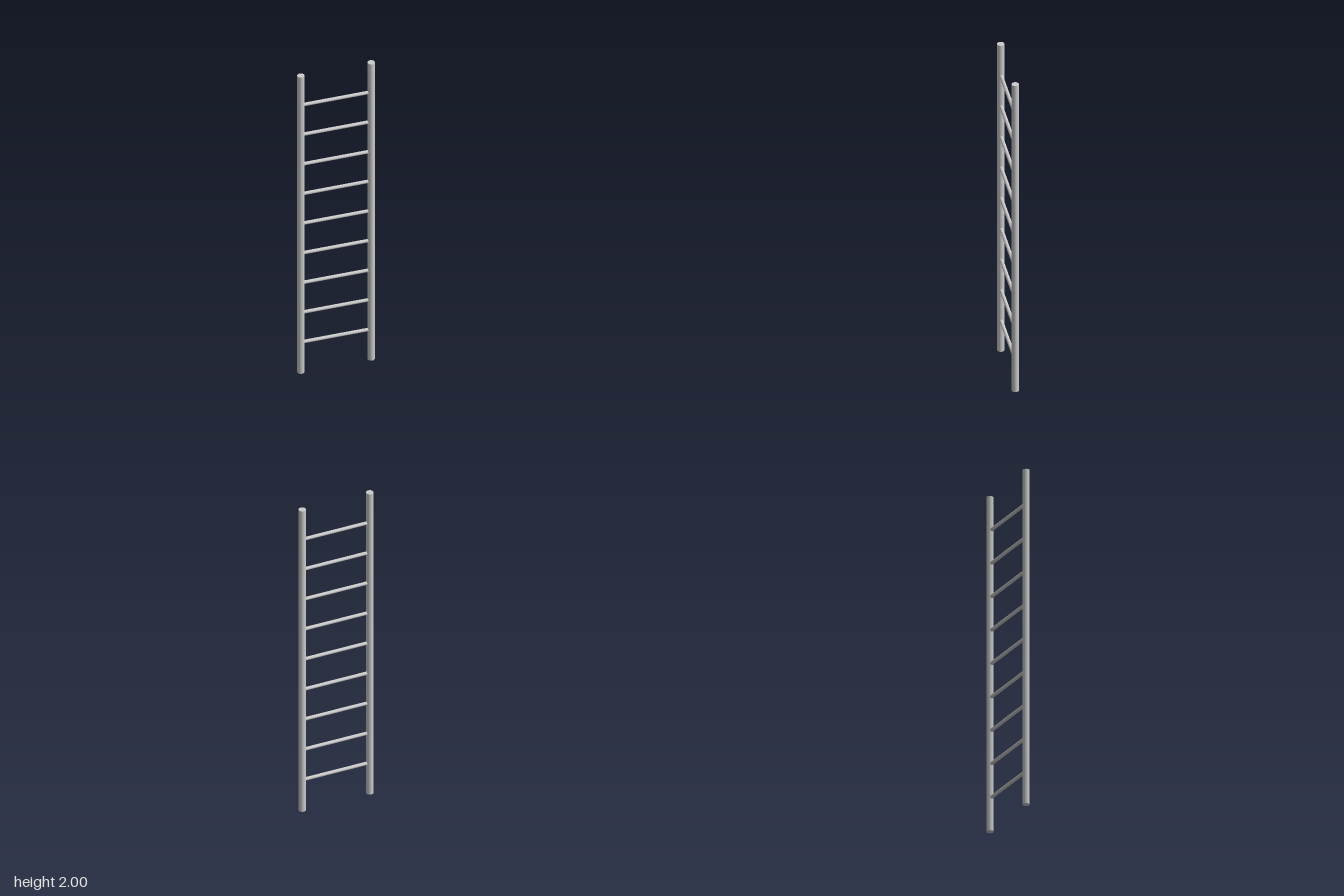
import * as THREE from 'three';

const HEIGHT = 2, RAIL_X = 0.2, RAIL_RADIUS = 0.02;
const RUNG_RADIUS = 0.01, RUNG_COUNT = 9, RUNG_SPACING = 0.2;

export function createModel() {
  const ladder = new THREE.Group();
  ladder.name = 'ladder';
  const material = new THREE.MeshStandardMaterial({ color: 0xcccccc });

  // Two upright side rails
  const railGeometry = new THREE.CylinderGeometry(RAIL_RADIUS, RAIL_RADIUS, HEIGHT, 32);
  for (const side of [-1, 1]) {
    const rail = new THREE.Mesh(railGeometry, material);
    rail.name = side > 0 ? 'leftRail' : 'rightRail';
    rail.position.set(side * RAIL_X, HEIGHT / 2, 0);
    ladder.add(rail);
  }

  // Evenly spaced rungs, running into the rail centres
  const rungGeometry = new THREE.CylinderGeometry(RUNG_RADIUS, RUNG_RADIUS, 2 * RAIL_X, 24);
  rungGeometry.rotateZ(Math.PI / 2);
  for (let i = 1; i <= RUNG_COUNT; i++) {
    const rung = new THREE.Mesh(rungGeometry, material);
    rung.name = `rung${i}`;
    rung.position.y = i * RUNG_SPACING;
    ladder.add(rung);
  }

  return ladder;
}
